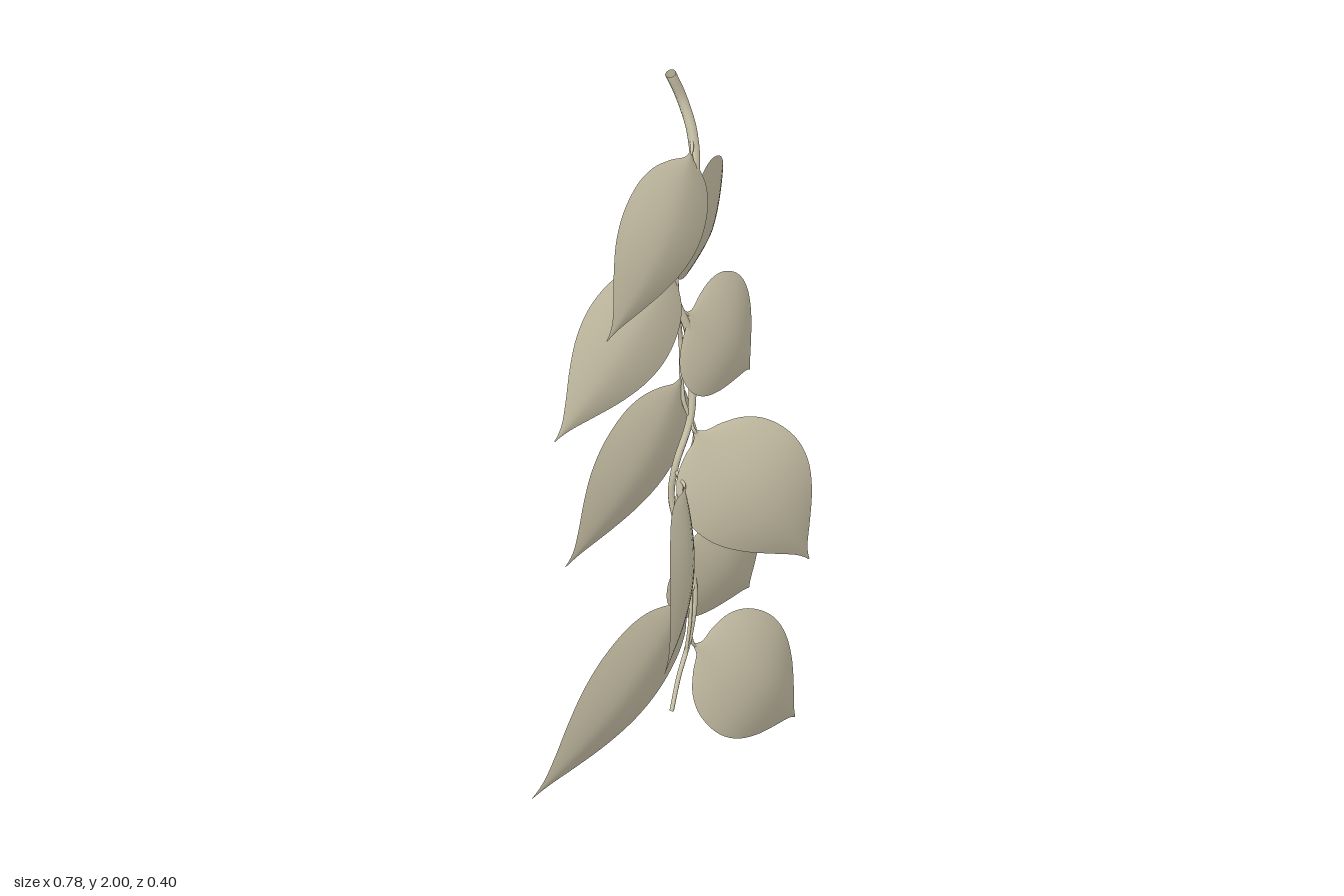
import * as THREE from 'three';

const V = (p) => new THREE.Vector3(...p);

// Round stalk that thins from r0 to r1 along a smooth path
function stalk(points, r0, r1, segs, material, name) {
  const curve = new THREE.CatmullRomCurve3(points.map(V));
  const geo = new THREE.TubeGeometry(curve, segs, r0, 8, false);
  const pos = geo.attributes.position, v = new THREE.Vector3();
  for (let k = 0; k < pos.count; k++) {
    const t = Math.floor(k / 9) / segs;
    const c = curve.getPointAt(t);
    v.fromBufferAttribute(pos, k).sub(c).multiplyScalar(1 + (r1 / r0 - 1) * t).add(c);
    pos.setXYZ(k, v.x, v.y, v.z);
  }
  const mesh = new THREE.Mesh(geo, material);
  mesh.name = name;
  return mesh;
}

// Half width of a leaf along its length: round base, drawn-out tip
const outline = new THREE.SplineCurve([
  [0, 0.02], [0.04, 0.12], [0.075, 0.38], [0.14, 0.69], [0.24, 0.91], [0.38, 1], [0.52, 0.92],
  [0.66, 0.69], [0.8, 0.37], [0.9, 0.14], [0.96, 0.045], [1, 0.01],
].map((p) => new THREE.Vector2(...p)));

// Arched leaf blade between base and tip, bowed forward, with edges bent back
function leafGeometry(base, tip, halfWidth, tilt, bow) {
  const d = tip.clone().sub(base);
  const dir = d.clone().normalize();
  const n = new THREE.Vector3(-d.z, 0, d.x).normalize();
  if (n.z < 0) n.negate();
  n.y += tilt;
  n.addScaledVector(dir, -n.dot(dir)).normalize();
  const side = n.clone().cross(dir);
  if (side.y < 0) side.negate();

  const geo = new THREE.PlaneGeometry(2, 1, 12, 44);
  const pos = geo.attributes.position, v = new THREE.Vector3();
  for (let k = 0; k < pos.count; k++) {
    const u = pos.getX(k);
    const o = outline.getPoint(0.5 - pos.getY(k));
    const arch = Math.sin(Math.PI * o.x);
    v.copy(base).addScaledVector(d, o.x)
      .addScaledVector(side, u * o.y * halfWidth + 0.006 * arch)
      .addScaledVector(n, bow * arch - 0.025 * Math.pow(Math.abs(u), 1.6) * o.y);
    pos.setXYZ(k, v.x, v.y, v.z);
  }
  geo.computeVertexNormals();
  return geo;
}

export function createModel() {
  const model = new THREE.Group();
  model.name = 'hangingVine';
  const khaki = new THREE.MeshStandardMaterial({ color: 0xd3cbb0, side: THREE.DoubleSide });
  khaki.name = 'pale khaki';

  // Main stem and the thinner strand twisting round it
  const stemPath = [
    [-0.015, 2, 0.012], [0.015, 1.92, 0.02], [0.022, 1.83, 0.045], [0.01, 1.73, 0.06],
    [-0.03, 1.6, 0.04], [-0.045, 1.5, 0.03], [-0.03, 1.4, 0.035], [0, 1.3, 0.05],
    [0.015, 1.18, 0.05], [0.01, 1.05, 0.05], [-0.02, 0.92, 0.03], [-0.015, 0.82, 0.015],
    [0.005, 0.7, 0.03], [0.025, 0.57, 0.05], [0.015, 0.44, 0.045], [-0.02, 0.34, 0.04],
    [-0.045, 0.26, 0.04],
  ];
  const strandPath = [
    [0.012, 1.75, 0.055], [-0.04, 1.57, 0.05], [-0.03, 1.38, 0.045], [0, 1.25, 0.03],
    [-0.003, 1.1, 0.04], [0.02, 1, 0.055], [0, 0.9, 0.04], [-0.02, 0.78, 0.03],
    [0.01, 0.65, 0.045], [0.01, 0.5, 0.05], [0, 0.4, 0.045],
  ];
  model.add(stalk(stemPath, 0.013, 0.005, 140, khaki, 'stem'));
  model.add(stalk(strandPath, 0.006, 0.004, 100, khaki, 'twistedStrand'));

  // Leaves: base, tip, half width, tilt, forward bow
  const leaves = [
    [[0.0, 1.8, 0.062], [-0.295, 1.43, 0.055], 0.156, 0.12, 0.042],
    [[-0.05, 1.505, 0.045], [-0.39, 1.17, -0.02], 0.148, 0.15, 0.037],
    [[0.012, 1.635, 0.045], [0.355, 1.24, -0.198], 0.147, -0.42, 0.038],
    [[-0.004, 1.345, 0.05], [0.25, 1.04, 0.028], 0.147, 0.15, 0.037],
    [[-0.005, 1.165, 0.038], [-0.295, 0.75, -0.065], 0.15, -0.42, 0.038],
    [[0.01, 1.017, 0.06], [0.305, 0.54, 0.155], 0.155, -0.12, 0.048],
    [[-0.022, 0.882, 0.058], [-0.26, 0.55, 0.195], 0.14, 0.1, 0.04],
    [[-0.012, 0.71, 0.05], [0.275, 0.41, 0.005], 0.15, -0.38, 0.038],
    [[0.0, 0.555, 0.05], [-0.39, 0.15, -0.085], 0.148, -0.38, 0.036],
    [[0.028, 0.405, 0.045], [0.39, 0.005, 0.045], 0.148, 0.13, 0.056],
  ];
  const stem = new THREE.CatmullRomCurve3(stemPath.map(V)).getSpacedPoints(200);
  for (const [b, t, w, tilt, bow] of leaves) {
    const base = V(b), tip = V(t);
    const leaf = new THREE.Group();
    leaf.name = 'leaf';
    const blade = new THREE.Mesh(leafGeometry(base, tip, w, tilt, bow), khaki);
    blade.name = 'leafBlade';

    // Short leaf stalk from the nearest stem point a little above the base
    const from = stem.reduce((a, p) =>
      Math.abs(p.y - base.y - 0.03) < Math.abs(a.y - base.y - 0.03) ? p : a);
    const mid = from.clone().lerp(base, 0.5);
    mid.y -= 0.004;
    const end = base.clone().lerp(tip, 0.04);
    leaf.add(blade, stalk([from, mid, base, end].map((p) => p.toArray()), 0.005, 0.003, 10, khaki, 'leafStalk'));
    model.add(leaf);
  }
  return model;
}
